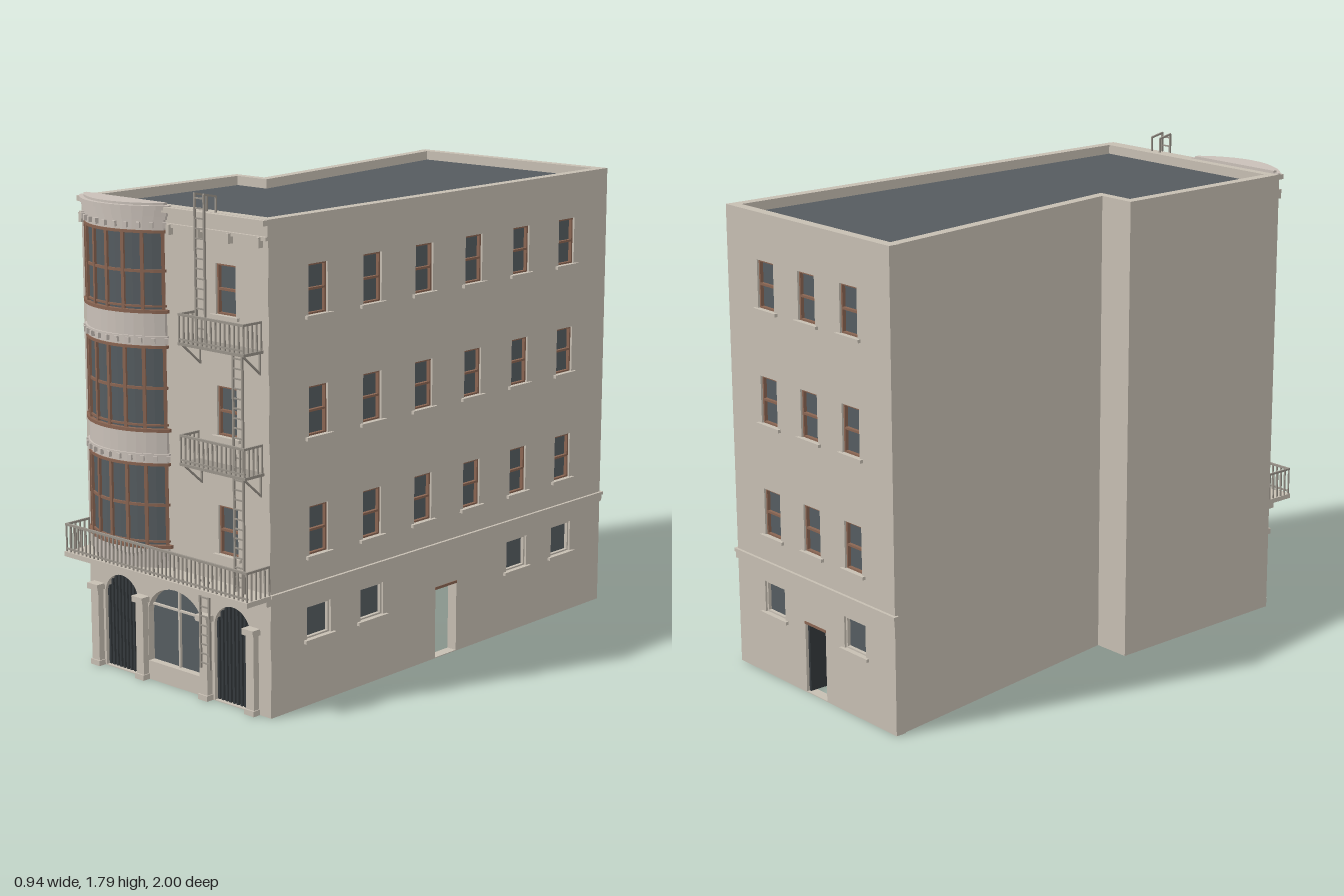
import * as THREE from 'three';

const mat = (name, color, side = THREE.FrontSide) => {
  const m = new THREE.MeshStandardMaterial({ color, side });
  m.name = name;
  return m;
};

export function createModel() {
  const root = new THREE.Group();
  root.name = 'cornerBuilding';
  const wallMat = mat('plaster', 0xc6beb2);
  const stone = mat('bayStone', 0xc9c0b8);
  const glass = mat('darkGlass', 0x555c60);
  const roofMat = mat('roofing', 0x565b5f);
  const wood = mat('brownWood', 0x8a6552);
  const iron = mat('ironwork', 0x99938a);
  const dark = mat('darkMetal', 0x34393c);

  const H = 1.725, T = 0.04;
  const group = (name, parent = root) => {
    const g = new THREE.Group();
    g.name = name;
    parent.add(g);
    return g;
  };
  const add = (parent, name, geo, m) => {
    const mesh = new THREE.Mesh(geo, m);
    mesh.name = name;
    parent.add(mesh);
    return mesh;
  };
  const box = (parent, name, m, w, h, d, x, y, z) => {
    const b = add(parent, name, new THREE.BoxGeometry(w, h, d), m);
    b.position.set(x, y, z);
    return b;
  };
  // Box given by its limits
  const span = (parent, name, m, x0, x1, y0, y1, z0, z1) =>
    box(parent, name, m, x1 - x0, y1 - y0, z1 - z0, (x0 + x1) / 2, (y0 + y1) / 2, (z0 + z1) / 2);
  // Vertical prism over a plan outline of [x, z] points
  const prism = (parent, name, m, pts, y0, y1) => {
    const s = new THREE.Shape(pts.map(([x, z]) => new THREE.Vector2(x, -z)));
    const g = new THREE.ExtrudeGeometry(s, { depth: y1 - y0, bevelEnabled: false });
    g.rotateX(-Math.PI / 2);
    g.translate(0, y0, 0);
    return add(parent, name, g, m);
  };
  const outline = (Kind, pts) => new Kind(pts.map(([x, y]) => new THREE.Vector2(x, y)));
  const rect = (x0, x1, y0, y1) => [[x0, y0], [x1, y0], [x1, y1], [x0, y1]];
  const archTop = (a, x) => a.spring + (a.top - a.spring) * Math.sqrt(Math.max(0, 1 - ((x - a.x) / a.hw) ** 2));
  const archPts = (a) => {
    const pts = [[a.x - a.hw, a.y0], [a.x + a.hw, a.y0]];
    for (let i = 0; i <= 16; i++) {
      const t = Math.PI * i / 16;
      pts.push([a.x + a.hw * Math.cos(t), a.spring + (a.top - a.spring) * Math.sin(t)]);
    }
    return pts;
  };
  // Wall slab with openings; its outer face is local z = 0
  const wall = (g, x0, x1, holes) => {
    const s = outline(THREE.Shape, rect(x0, x1, 0, H));
    s.holes = holes.map((p) => outline(THREE.Path, p));
    const geo = new THREE.ExtrudeGeometry(s, { depth: T, bevelEnabled: false });
    geo.translate(0, 0, -T);
    add(g, 'wall', geo, wallMat);
  };
  const winRect = (w) => rect(w.x - w.w / 2, w.x + w.w / 2, w.y0, w.y1);
  // Recessed sash window with sill
  const sash = (parent, w) => {
    const g = group('window', parent), m = w.plain ? wallMat : wood, h = w.y1 - w.y0, cy = (w.y0 + w.y1) / 2;
    box(g, 'glass', glass, w.w, h, 0.006, w.x, cy, -0.024);
    for (const s of [-1, 1]) {
      box(g, 'frameSide', m, 0.007, h, 0.014, w.x + s * (w.w / 2 - 0.0035), cy, -0.015);
      box(g, 'frameRail', m, w.w, 0.007, 0.014, w.x, cy + s * (h / 2 - 0.0035), -0.015);
    }
    if (!w.plain) box(g, 'meetingRail', m, w.w, 0.008, 0.014, w.x, cy, -0.015);
    box(g, 'sill', wallMat, w.w + 0.035, 0.012, 0.034, w.x, w.y0 - 0.005, -0.005);
  };
  const floors = [0.54, 0.96, 1.38];
  const upper = (xs) => xs.flatMap((x) => floors.map((y) => ({ x, w: 0.095, y0: y, y1: y + 0.175 })));
  const ground = (xs) => xs.map((x) => ({ x, w: 0.12, y0: 0.24, y1: 0.36, plain: true }));

  // Side and back walls: windows, open door, string course
  const plainWall = (name, x0, x1, cols, low, door) => {
    const g = group(name), wins = [...upper(cols), ...ground(low)];
    wall(g, x0, x1, [...wins.map(winRect), rect(door - 0.06, door + 0.06, 0.003, 0.272)]);
    wins.forEach((w) => sash(g, w));
    span(g, 'doorLeaf', dark, door - 0.06, door - 0.05, 0.004, 0.266, -0.13, -0.012);
    span(g, 'doorHead', wood, door - 0.062, door + 0.062, 0.264, 0.274, -0.035, 0.002);
    span(g, 'stringCourse', wallMat, x0 - 0.005, x1 + 0.005, 0.405, 0.43, -0.01, 0.006);
    span(g, 'stringCourseTop', wallMat, x0 - 0.005, x1 + 0.01, 0.43, 0.442, -0.01, 0.011);
    return g;
  };
  const right = plainWall('rightWall', -0.874, 0.989, [-0.635, -0.36, -0.085, 0.19, 0.465, 0.74],
    [-0.635, -0.36, 0.465, 0.74], 0.05);
  right.rotation.y = Math.PI / 2;
  right.position.x = 0.45;
  const back = plainWall('backWall', -0.45, 0.47, [-0.225, 0.01, 0.245], [-0.225, 0.245], 0.015);
  back.rotation.y = Math.PI;
  back.position.z = -0.99;

  // Blank left side with its notch and slanted rear part, and the roof
  const inner = [[-0.43, 0.835], [-0.43, 0.135], [-0.28, 0.135], [-0.425, -0.95]];
  prism(root, 'leftWalls', wallMat, [[-0.47, -0.989], [-0.325, 0.1], [-0.47, 0.1], [-0.47, 0.874], ...inner], 0, H - 0.0005);
  prism(root, 'roof', roofMat, [...inner, [0.41, -0.95], [0.41, 0.835]], 1.665, 1.69);

  // Front wall with arcade
  const front = group('frontWall');
  front.position.z = 0.875;
  const arches = [
    { x: -0.3, hw: 0.09, y0: 0.003, spring: 0.27, top: 0.36 },
    { x: -0.022, hw: 0.14, y0: 0.07, spring: 0.25, top: 0.36 },
    { x: 0.265, hw: 0.09, y0: 0.003, spring: 0.27, top: 0.36 },
  ];
  const frontWins = upper([0.25]);
  wall(front, -0.469, 0.449, [...arches.map(archPts), ...frontWins.map(winRect)]);
  frontWins.forEach((w) => sash(front, w));
  arches.forEach((a, i) => {
    const geo = new THREE.ExtrudeGeometry(outline(THREE.Shape, archPts(a)), { depth: 0.006, bevelEnabled: false });
    geo.translate(0, 0, -0.034);
    add(front, i === 1 ? 'shopGlass' : 'gatePanel', geo, glass);
    if (i === 1) {
      span(front, 'shopMullion', wallMat, a.x - 0.004, a.x + 0.004, a.y0, a.top, -0.03, -0.018);
      span(front, 'shopTransom', wallMat, a.x - 0.135, a.x + 0.135, 0.277, 0.284, -0.03, -0.018);
    } else {
      for (let k = 0; k < 10; k++) {
        const x = a.x + (k - 4.5) * 0.0185;
        span(front, 'gateBar', dark, x - 0.005, x + 0.005, 0.004, archTop(a, x), -0.026, -0.012);
      }
    }
  });
  for (const x of [-0.42, -0.183, 0.143, 0.372]) {
    box(front, 'pilaster', wallMat, 0.038, 0.29, 0.03, x, 0.145, 0.01);
    box(front, 'pilasterBase', wallMat, 0.046, 0.02, 0.038, x, 0.01, 0.012);
    box(front, 'pilasterCapital', wallMat, 0.055, 0.022, 0.045, x, 0.3, 0.014);
  }
  // Parapet mouldings and brackets
  span(front, 'cornice', wallMat, -0.47, 0.45, 1.705, 1.724, -0.01, 0.022);
  span(front, 'corniceBand', wallMat, -0.47, 0.45, 1.655, 1.668, -0.01, 0.012);
  for (const x of [-0.455, -0.008, 0.135, 0.28, 0.42])
    box(front, 'corniceBracket', wallMat, 0.014, 0.035, 0.03, x, 1.648, 0.007);

  // Bow window: circular-arc plan, widened by off
  const CX = -0.24, Z0 = 0.885;
  const arc = (off, n) => {
    const a = 0.2 + off, s = 0.082 + off * 0.8, R = (a * a + s * s) / (2 * s), half = Math.asin(a / R);
    return Array.from({ length: n + 1 }, (_, i) => {
      const t = half * (2 * i / n - 1);
      return [CX + R * Math.sin(t), Z0 + s - R + R * Math.cos(t), t];
    });
  };
  const bow = group('bowWindow');
  const ring = (name, m, off, y0, y1) => {
    const pts = arc(off, 12);
    prism(bow, name, m, [[pts[0][0], 0.87], ...pts, [pts[12][0], 0.87]], y0, y1);
  };
  const bays = [[0.52, 0.82], [0.94, 1.238], [1.36, 1.64]];
  ring('bowBase', stone, 0, 0.44, 0.52);
  for (const [y0, y1] of bays) {
    const mid = (y0 + y1) / 2;
    ring('bowGlass', glass, -0.006, y0, y1);
    ring('bowSill', wood, 0.014, y0 - 0.006, y0 + 0.006);
    ring('bowLowerRail', wood, 0.003, y0 + 0.014, y0 + 0.021);
    ring('bowMiddleRail', wood, 0.002, mid - 0.005, mid + 0.005);
    ring('bowHead', wood, 0.008, y1 - 0.008, y1 + 0.002);
    for (const [x, z, t] of arc(-0.003, 6))
      box(bow, 'bowMullion', wood, 0.012, y1 - y0, 0.014, x, mid, z).rotation.y = t;
    for (const [x, z, t] of arc(0.008, 10))
      box(bow, 'dentil', stone, 0.014, 0.02, 0.016, x, y1 + 0.02, z).rotation.y = t;
  }
  for (const [y0, y1] of [[0.82, 0.94], [1.238, 1.36]]) {
    ring('spandrel', stone, 0.002, y0, y1 - 0.006);
    ring('spandrelMoulding', stone, 0.01, y0 + 0.028, y0 + 0.036);
  }
  ring('bowFrieze', stone, 0.002, 1.64, 1.705);
  ring('bowCorniceLower', stone, 0.01, 1.678, 1.69);
  ring('bowCornice', stone, 0.016, 1.69, 1.712);
  ring('bowCorniceTop', stone, 0.026, 1.712, 1.728);
  ring('bowCap', stone, 0.005, 1.728, 1.736);
  ring('bowCorbel', stone, -0.05, 0.392, 0.41);
  ring('bowCorbelUpper', stone, -0.03, 0.4, 0.425);

  // Balcony slab and railings
  const railing = (parent, x0, x1, y, h, zBack, z, step) => {
    const g = group('railing', parent);
    span(g, 'topRail', iron, x0, x1, y + h - 0.008, y + h, z - 0.004, z + 0.004);
    span(g, 'bottomRail', iron, x0, x1, y + 0.008, y + 0.014, z - 0.003, z + 0.003);
    const n = Math.round((x1 - x0) / step);
    for (let i = 0; i <= n; i++)
      box(g, 'baluster', iron, 0.005, h, 0.005, x0 + 0.0025 + (x1 - x0 - 0.005) * i / n, y + h / 2, z);
    const m = Math.max(2, Math.round((z - zBack) / step));
    for (const x of [x0 + 0.003, x1 - 0.003]) {
      span(g, 'sideRail', iron, x - 0.003, x + 0.003, y + h - 0.008, y + h, zBack, z);
      for (let i = 0; i < m; i++)
        box(g, 'sideBaluster', iron, 0.005, h, 0.005, x, y + h / 2, zBack + (z - zBack) * i / m);
    }
  };
  const balcony = group('balcony');
  span(balcony, 'slab', wallMat, -0.47, 0.456, 0.424, 0.442, 0.87, 0.995);
  span(balcony, 'slabMoulding', wallMat, -0.47, 0.456, 0.405, 0.424, 0.87, 0.9);
  railing(balcony, -0.468, 0.452, 0.442, 0.105, 0.88, 0.987, 0.021);

  // Fire escape: landings, brackets and ladders
  const escape = group('fireEscape');
  for (const y of [0.855, 1.275]) {
    span(escape, 'landing', iron, 0.11, 0.425, y, y + 0.01, 0.87, 0.968);
    railing(escape, 0.112, 0.423, y + 0.01, 0.1, 0.88, 0.964, 0.022);
    for (const x of [0.125, 0.41]) {
      span(escape, 'bracketPost', iron, x - 0.003, x + 0.003, y - 0.075, y, 0.874, 0.88);
      box(escape, 'bracketStrut', iron, 0.006, 0.115, 0.006, x, y - 0.036, 0.917).rotation.x = 0.85;
    }
  }
  const ladder = (x, y0, y1, z) => {
    const g = group('ladder', escape);
    for (const s of [-1, 1])
      box(g, 'stile', iron, 0.007, y1 - y0, 0.007, x + s * 0.022, (y0 + y1) / 2, z);
    for (let y = y0 + 0.02; y < y1 - 0.01; y += 0.034)
      box(g, 'rung', iron, 0.044, 0.005, 0.005, x, y, z);
  };
  ladder(0.18, 0.13, 0.45, 0.925);
  ladder(0.353, 0.442, 0.86, 0.925);
  ladder(0.353, 0.86, 1.28, 0.925);
  ladder(0.18, 1.28, 1.79, 0.925);
  // Hooked ladder top over the parapet
  for (const x of [0.158, 0.202]) {
    box(escape, 'ladderHook', iron, 0.007, 0.007, 0.06, x, 1.785, 0.898).rotation.x = -0.2;
    span(escape, 'ladderHookEnd', iron, x - 0.003, x + 0.003, 1.72, 1.78, 0.866, 0.872);
  }
  return root;
}
